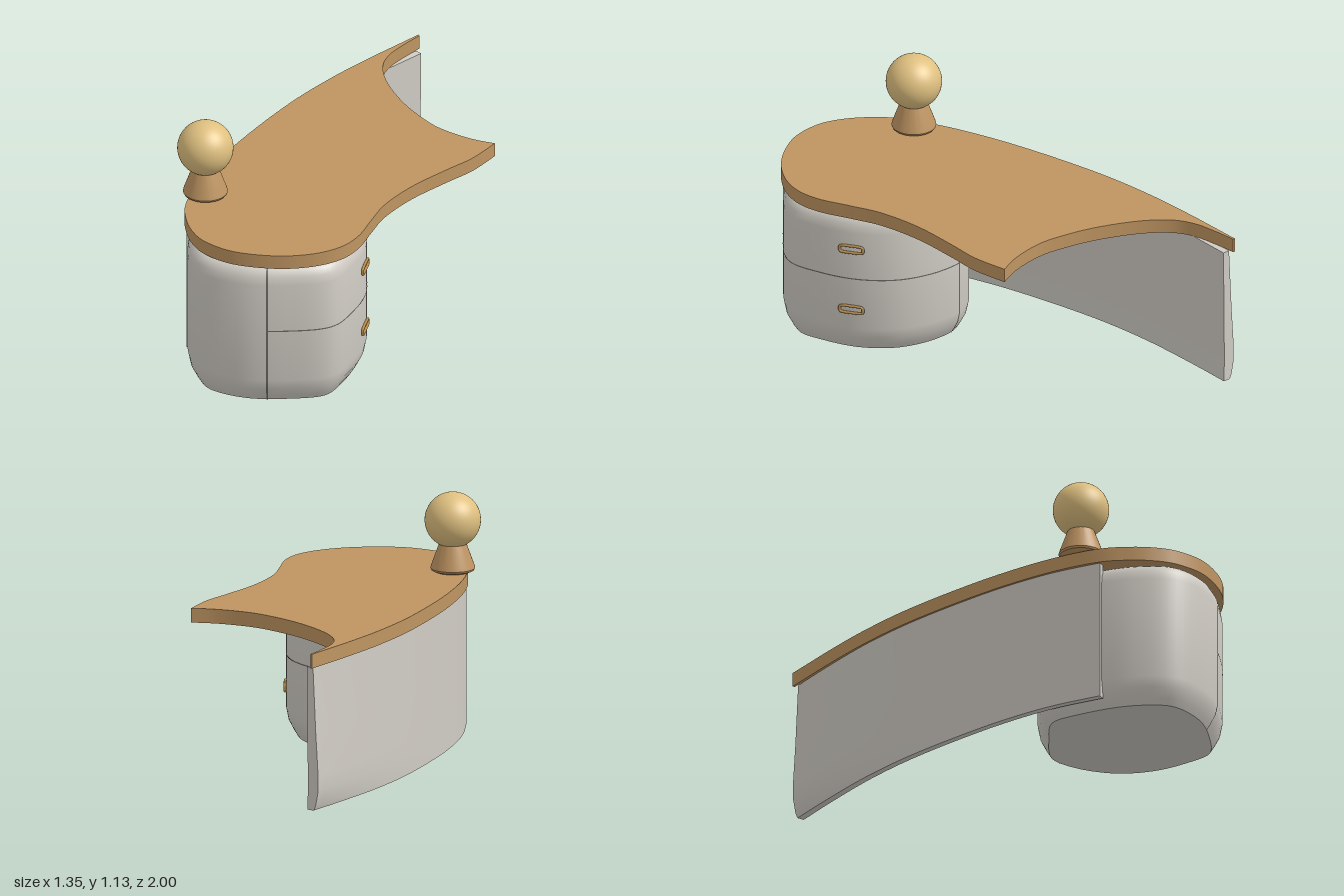
import * as THREE from 'three';
import { mergeVertices, toCreasedNormals } from 'three/addons/utils/BufferGeometryUtils.js';

const mat = (name, color, side = THREE.FrontSide) =>
  Object.assign(new THREE.MeshStandardMaterial({ color, side }), { name });

// Surface from a grid of points fn(i, j); faces look along (i direction) x (j direction)
function gridSurface(ni, nj, fn) {
  const pos = [], idx = [];
  for (let i = 0; i <= ni; i++) {
    for (let j = 0; j <= nj; j++) pos.push(...fn(i, j).toArray());
  }
  for (let i = 0; i < ni; i++) {
    for (let j = 0; j < nj; j++) {
      const a = i * (nj + 1) + j, b = a + nj + 1;
      idx.push(a, b, b + 1, a, b + 1, a + 1);
    }
  }
  const g = new THREE.BufferGeometry();
  g.setAttribute('position', new THREE.Float32BufferAttribute(pos, 3));
  g.setIndex(idx);
  return toCreasedNormals(mergeVertices(g, 1e-5), 0.7);
}

// Smooth floor-plan curve through [x, z] pairs
const planCurve = (pts, closed = false) =>
  new THREE.CatmullRomCurve3(pts.map(([x, z]) => new THREE.Vector3(x, 0, z)), closed);

// Point beside a plan curve, moved outward by d and raised to y
function beside(curve, u, d, y) {
  const p = curve.getPointAt(u), t = curve.getTangentAt(u);
  return new THREE.Vector3(p.x - t.z * d, y, p.z + t.x * d);
}

export function createModel() {
  const wood = mat('wood', 0xbf9562);
  const paleWood = mat('pale wood', 0xdfc080);
  const lacquer = mat('grey lacquer', 0xd1cdc5);
  const seamGrey = mat('seam grey', 0x6a6762, THREE.DoubleSide);
  const brass = mat('handle brass', 0xb98d4c);

  const model = new THREE.Group();
  model.name = 'desk';
  const add = (name, geometry, material, parent = model) => {
    const m = new THREE.Mesh(geometry, material);
    m.name = name;
    parent.add(m);
    return m;
  };

  // Tabletop: three flowing edges meeting at sharp tips
  const v2 = (pts) => pts.map(([x, z]) => new THREE.Vector2(x, -z));
  const top = new THREE.Shape();
  top.moveTo(-0.66, 1.0);
  top.splineThru(v2([[-0.645, -0.85], [-0.627, -0.68], [-0.594, -0.45], [-0.535, -0.18], [-0.44, 0.12],
    [-0.335, 0.39], [-0.215, 0.63], [-0.085, 0.815], [0.03, 0.905], [0.14, 0.955], [0.25, 0.97], [0.4, 0.93],
    [0.55, 0.81], [0.64, 0.67], [0.67, 0.53], [0.64, 0.4], [0.56, 0.26], [0.485, 0.12], [0.43, -0.08],
    [0.407, -0.3], [0.395, -0.46], [0.35, -0.625]]));
  top.splineThru(v2([[0.25, -0.57], [0.12, -0.53], [0, -0.52], [-0.2, -0.545], [-0.4, -0.61],
    [-0.53, -0.69], [-0.595, -0.78], [-0.628, -0.89], [-0.65, -1.0]]));
  top.closePath();
  const topGeo = new THREE.ExtrudeGeometry(top, { depth: 0.066, bevelEnabled: false, curveSegments: 6 });
  topGeo.rotateX(-Math.PI / 2).translate(0, 0.702, 0);
  add('tabletop', toCreasedNormals(topGeo, 0.6), wood);

  // Drawer pedestal: rounded plan swept up a soft-edged profile of [inset, y]
  const plan = planCurve([[0.23, 0.995], [0.43, 0.92], [0.575, 0.765], [0.67, 0.58], [0.62, 0.42],
    [0.52, 0.262], [0.37, 0.15], [0.17, 0.11], [0.0, 0.15], [-0.13, 0.34], [-0.21, 0.54],
    [-0.13, 0.71], [0.045, 0.91]], true);
  const profile = [[0.05, 0.003], [0.033, 0.03], [0.01, 0.075], [0, 0.125], [0, 0.61],
    [0.006, 0.65], [0.022, 0.678], [0.04, 0.69], [0.06, 0.695]];
  const last = profile.length - 1;
  add('pedestal', gridSurface(96, last + 2, (i, j) => {
    const [inset, y] = profile[Math.min(Math.max(j - 1, 0), last)];
    if (j === 0 || j === last + 2) return new THREE.Vector3(0.25, y, 0.55);
    return beside(plan, (i % 96) / 96, -inset, y);
  }), lacquer);

  // Seams between the drawer fronts and the body
  const nearest = (x, z) => {
    let best = 0, dist = Infinity;
    for (let i = 0; i < 400; i++) {
      const p = plan.getPointAt(i / 400), d = Math.hypot(p.x - x, p.z - z);
      if (d < dist) [best, dist] = [i / 400, d];
    }
    return best;
  };
  const seamFront = nearest(0.52, 0.83), seamBack = nearest(0.06, 0.12);
  add('drawerSeam', gridSurface(48, 1, (i, j) =>
    beside(plan, THREE.MathUtils.lerp(seamFront, seamBack, i / 48), 0.002, 0.375 + j * 0.006)), seamGrey);
  for (const u of [seamFront, seamBack]) {
    add('verticalSeam', gridSurface(1, last, (i, j) =>
      beside(plan, u + (i - 0.5) * 0.003, 0.002 - profile[j][0], profile[j][1])), seamGrey);
  }

  // Drawer handles: slim rounded loops
  class Stadium extends THREE.Curve {
    getPoint(t, out = new THREE.Vector3()) {
      const a = t * Math.PI * 2, c = Math.cos(a), s = Math.sin(a);
      const e = (v, r) => Math.sign(v) * Math.abs(v) ** 0.4 * r;
      return out.set(e(c, 0.055), e(s, 0.017), 0);
    }
  }
  const handleU = nearest(0.535, 0.287);
  for (const y of [0.222, 0.53]) {
    const handle = add('drawerHandle', new THREE.TubeGeometry(new Stadium(), 48, 0.0065, 8, true), brass);
    const t = plan.getTangentAt(handleU);
    handle.position.copy(beside(plan, handleU, 0.005, y));
    handle.rotation.y = Math.atan2(-t.z, t.x);
  }

  // Curved side panel, flaring out low down at its back end
  const path = planCurve([[-0.645, -0.975], [-0.625, -0.75], [-0.587, -0.45], [-0.528, -0.18],
    [-0.433, 0.12], [-0.328, 0.39], [-0.208, 0.625], [-0.072, 0.82]]);
  const section = [[0.004, 0.04], [0.014, 0.06], [0.028, 0.13], [0.028, 0.2], [0.015, 0.4], [0, 0.7],
    [-0.033, 0.7], [-0.03, 0.4], [-0.028, 0.2], [-0.028, 0.13], [-0.03, 0.04]];
  const n = 48;
  add('sidePanel', gridSurface(n + 2, section.length, (i, j) => {
    const u = THREE.MathUtils.clamp((i - 1) / n, 0, 1);
    let [d, y] = section[j % section.length];
    if (d > 0) d *= (1 - u) ** 4;
    if (i === 0 || i === n + 2) [d, y] = [-0.015, 0.37];
    return beside(path, u, d, y);
  }), lacquer);

  // Ball on a tapered foot
  const figure = new THREE.Group();
  figure.name = 'ballOrnament';
  figure.position.set(-0.098, 0, 0.69);
  model.add(figure);
  const foot = [[0, 0.772], [0.083, 0.772], [0.097, 0.779], [0.101, 0.788], [0.098, 0.8], [0.06, 0.905], [0, 0.905]];
  add('foot', toCreasedNormals(new THREE.LatheGeometry(foot.map((p) => new THREE.Vector2(...p)), 48), 0.6), wood, figure);
  add('ball', new THREE.SphereGeometry(0.127, 48, 32), paleWood, figure).position.y = 1.009;

  return model;
}
